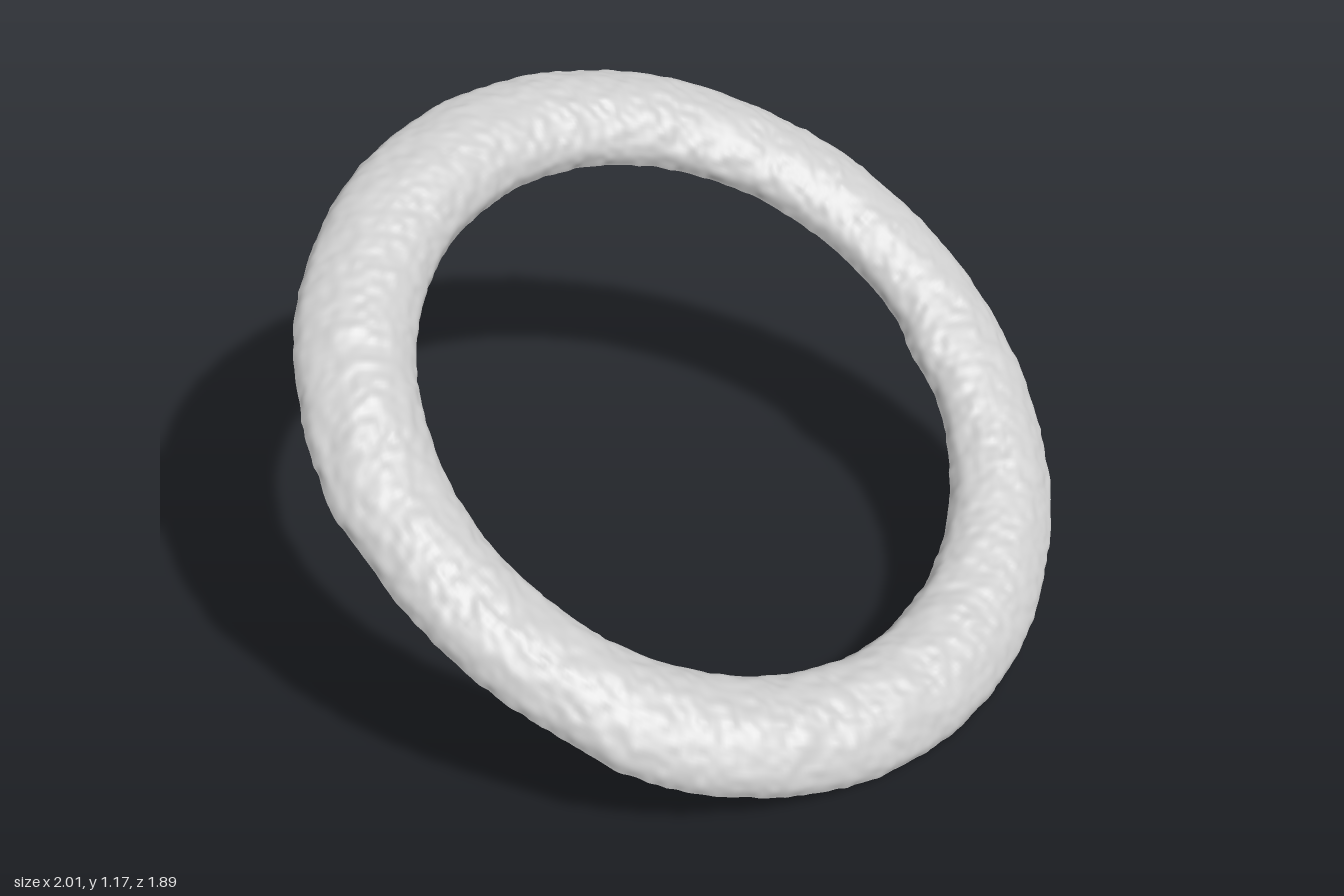
import * as THREE from 'three';
import { mergeVertices } from 'three/addons/utils/BufferGeometryUtils.js';

const MID = 0.9, HALF = 0.15, HEIGHT = 0.096, SEGMENTS = 600;

// Seeded lattice value and smooth 3D noise in -1..1
function lattice(i, j, k) {
  let h = Math.imul(i, 374761393) ^ Math.imul(j, 668265263) ^ Math.imul(k, 1274126177);
  h = Math.imul(h ^ (h >>> 13), 1103515245);
  return ((h ^ (h >>> 16)) >>> 0) / 2147483648 - 1;
}
function noise(x, y, z) {
  const i = Math.floor(x), j = Math.floor(y), k = Math.floor(z);
  const ease = t => t * t * (3 - 2 * t), mix = THREE.MathUtils.lerp;
  const u = ease(x - i), v = ease(y - j), w = ease(z - k);
  const row = (b, c) => mix(lattice(i, b, c), lattice(i + 1, b, c), u);
  return mix(mix(row(j, k), row(j + 1, k), v), mix(row(j, k + 1), row(j + 1, k + 1), v), w);
}

// A bump around one direction of the ring; a higher power gives steeper ends
function bump(angle, centre, width, power) {
  const d = Math.atan2(Math.sin(angle - centre), Math.cos(angle - centre)) / width;
  return Math.exp(-(d ** power));
}

// Pushes a point of the section in or out to give the eroded surface
function erode(p) {
  const r = Math.hypot(p.x, p.z), angle = Math.atan2(p.z, p.x);
  const side = (r - MID) / HALF; // -1 at the inner edge, 1 at the outer edge
  const rough = 0.004 * noise(p.x * 7, p.y * 7, p.z * 7)
    + 0.004 * noise(p.x * 19 + 5, p.y * 19, p.z * 19)
    + 0.004 * noise(p.x * 42, p.y * 42 + 9, p.z * 42);
  let shift = 0.6 * rough * side;
  if (side > 0) shift -= side * 0.022 * bump(angle, 2.35, 0.38, 8); // worn outer edge
  else shift += side * 0.02 * bump(angle, -0.3, 0.1, 2);            // inner lump
  const scale = (r + shift) / r;
  p.set(p.x * scale, p.y * (1 + rough / HEIGHT), p.z * scale);
}

function ringSurface(points) {
  let geometry = new THREE.LatheGeometry(points, SEGMENTS);
  geometry.deleteAttribute('uv');
  geometry.deleteAttribute('normal');
  geometry = mergeVertices(geometry, 1e-5);
  const pos = geometry.attributes.position, p = new THREE.Vector3();
  for (let i = 0; i < pos.count; i++) {
    p.fromBufferAttribute(pos, i);
    erode(p);
    pos.setXYZ(i, p.x, p.y, p.z);
  }
  geometry.computeVertexNormals();
  return geometry;
}

export function createModel() {
  const group = new THREE.Group();
  group.name = 'tiltedRing';
  const material = new THREE.MeshStandardMaterial({ color: 0xcccccc });
  const add = (name, points) => {
    const mesh = new THREE.Mesh(ringSurface(points), material);
    mesh.name = name;
    ring.add(mesh);
  };

  // Ring is modelled flat, then leaned towards the front left
  const ring = new THREE.Group();
  ring.name = 'ring';
  ring.quaternion.setFromUnitVectors(new THREE.Vector3(0, 1, 0), new THREE.Vector3(0.3, 0.84, 0.45).normalize());
  ring.position.set(-0.002, 0.568, -0.008);
  group.add(ring);

  // Shallow domed upper side, from the outer edge over to the inner edge
  const profile = [[1.053, 0], [1.042, 0.03], [1.005, 0.062], [0.955, 0.087], [0.9, 0.096],
    [0.845, 0.09], [0.795, 0.069], [0.759, 0.036], [0.75, 0]].map(([r, y]) => new THREE.Vector2(r, y));
  add('domedTop', new THREE.SplineCurve(profile).getPoints(48));

  // Flat underside
  add('flatUnderside', Array.from({ length: 9 }, (_, i) => new THREE.Vector2(0.75 + 0.303 * i / 8, 0)));

  return group;
}
